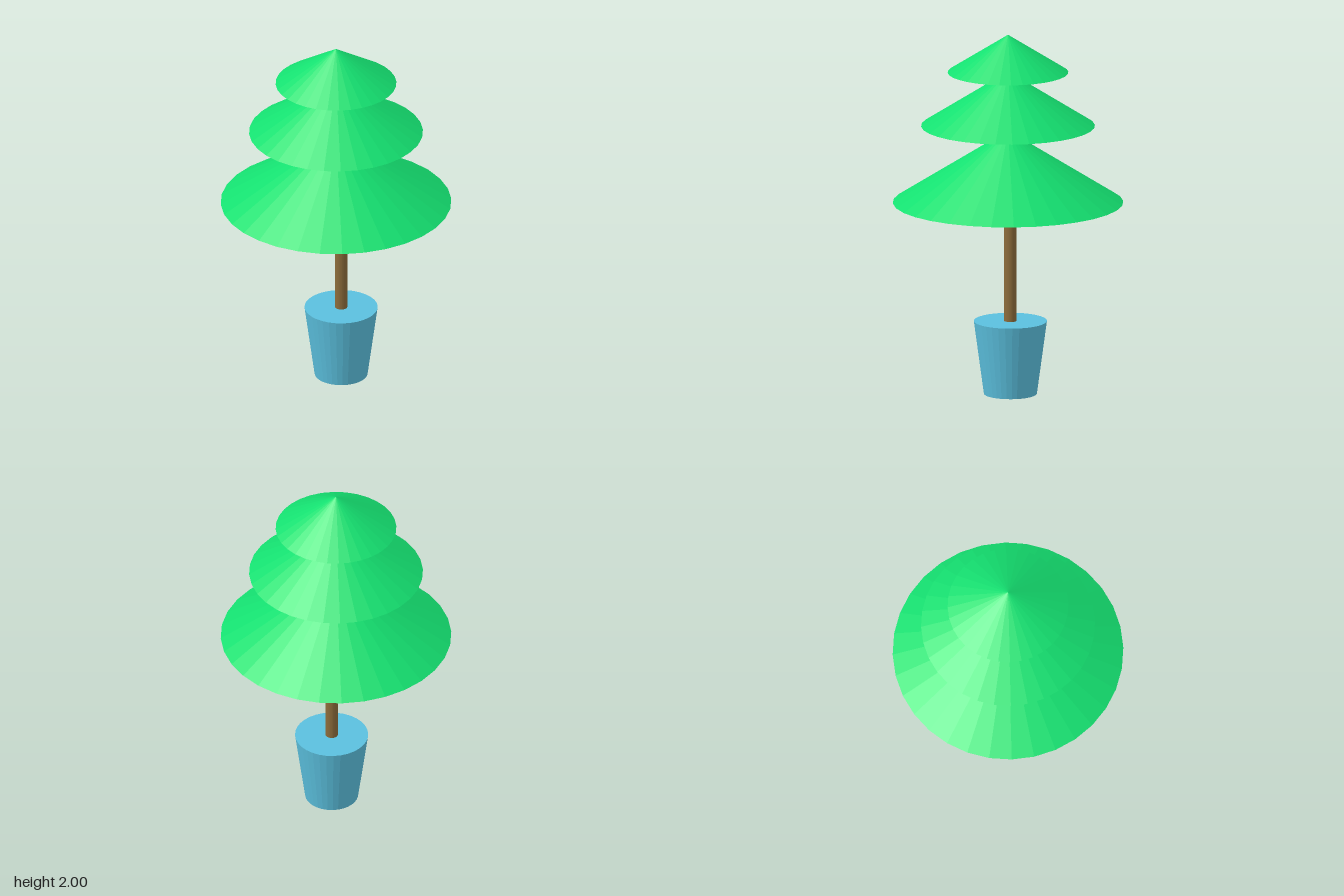
import * as THREE from 'three';

const SIDES = 32;
const material = (color) => new THREE.MeshStandardMaterial({ color, flatShading: true });

// Closed round part standing between two heights
function roundPart(name, rBottom, rTop, y0, y1, mat, x = 0, z = 0) {
  const geometry = rTop === 0
    ? new THREE.ConeGeometry(rBottom, y1 - y0, SIDES)
    : new THREE.CylinderGeometry(rTop, rBottom, y1 - y0, SIDES);
  const mesh = new THREE.Mesh(geometry, mat);
  mesh.name = name;
  mesh.position.set(x, (y0 + y1) / 2, z);
  return mesh;
}

export function createModel() {
  const model = new THREE.Group();
  model.name = 'pottedTree';

  const green = material(0x14e070);
  const brown = material(0x8b6b3a);
  const blue = material(0x5bc0de);

  // Pot and trunk stand slightly off the axis of the foliage
  const x = 0.033, z = 0.008;
  model.add(roundPart('pot', 0.145, 0.2, 0, 0.407, blue, x, z));
  model.add(roundPart('trunk', 0.034, 0.034, 0.4, 1.07, brown, x, z));

  // Foliage cones: name, radius, base height, tip height
  const tiers = [
    ['lowerFoliage', 0.63, 1.063, 1.465],
    ['middleFoliage', 0.475, 1.491, 1.795],
    ['upperFoliage', 0.33, 1.79, 2.0],
  ];
  for (const [name, radius, y0, y1] of tiers) {
    model.add(roundPart(name, radius, 0, y0, y1, green));
  }
  return model;
}
